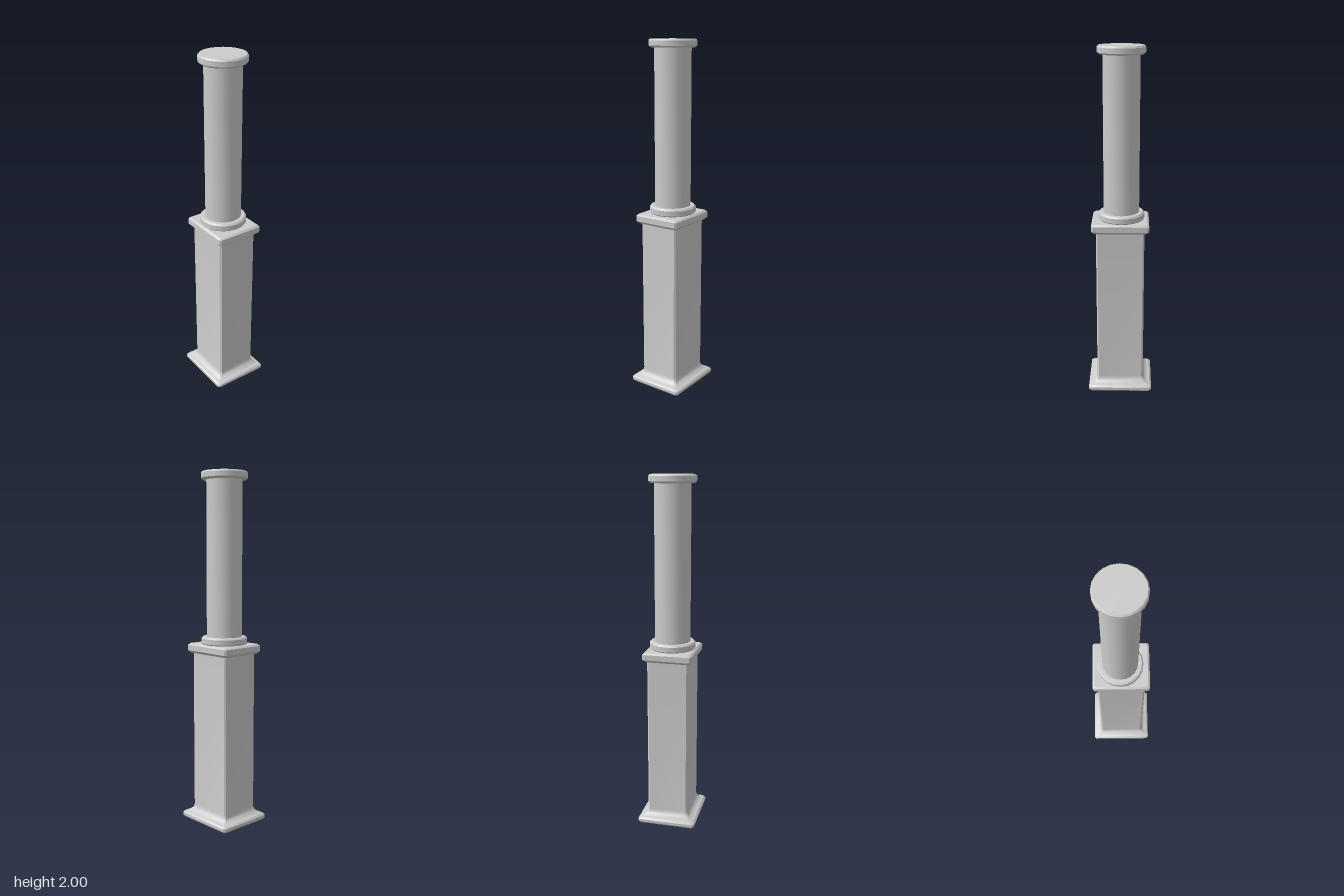
import * as THREE from 'three';
import { toCreasedNormals } from 'three/addons/utils/BufferGeometryUtils.js';

const CREASE = 0.6;

// Stacks chamfered rectangles: each section is [halfX, y, halfZ, chamfer], bottom to top.
function rectLoft(sections) {
  const pos = [], index = [], n = 8;
  for (const [x, y, z, c] of sections) {
    const ring = [[x, z - c], [x - c, z], [c - x, z], [-x, z - c],
      [-x, c - z], [c - x, -z], [x - c, -z], [x, c - z]];
    for (const [px, pz] of ring) pos.push(px, y, pz);
  }
  for (let s = 0; s < sections.length - 1; s++) {
    for (let i = 0; i < n; i++) {
      const a = s * n + i, b = s * n + (i + 1) % n;
      index.push(a, a + n, b, b, a + n, b + n);
    }
  }
  // Flat ends
  const top = (sections.length - 1) * n;
  for (let i = 1; i < n - 1; i++) {
    index.push(0, i, i + 1, top, top + i + 1, top + i);
  }
  const geo = new THREE.BufferGeometry();
  geo.setAttribute('position', new THREE.Float32BufferAttribute(pos, 3));
  geo.setIndex(index);
  return toCreasedNormals(geo, CREASE);
}

function turned(profile) {
  const pts = profile.map(([r, y]) => new THREE.Vector2(r, y));
  return toCreasedNormals(new THREE.LatheGeometry(pts, 20), CREASE);
}

export function createModel() {
  const group = new THREE.Group();
  const material = new THREE.MeshStandardMaterial({ color: 0xcccccc });
  const add = (name, geometry, z = 0) => {
    const mesh = new THREE.Mesh(geometry, material);
    mesh.name = name;
    mesh.position.z = z;
    group.add(mesh);
  };
  // Section from the pedestal's half width; the depth is always a little larger
  const section = (x, y, c, extra = 0.018) => [x, y, x + extra, c];

  // Square pedestal with a flared foot
  add('pedestal', rectLoft([
    section(0.158, 0, 0.008),
    section(0.168, 0.011, 0.012),
    section(0.168, 0.026, 0.012),
    section(0.158, 0.036, 0.01),
    section(0.147, 0.038, 0.01),
    section(0.136, 0.045, 0.01),
    section(0.126, 0.056, 0.009),
    section(0.12, 0.067, 0.009),
    section(0.118, 0.08, 0.009),
    section(0.118, 0.995, 0.009),
  ]));

  // Slab on top of the pedestal
  add('pedestalCap', rectLoft([
    section(0.126, 0.988, 0.009, 0.021),
    section(0.14, 1.002, 0.01, 0.022),
    section(0.14, 1.033, 0.01, 0.022),
    section(0.13, 1.043, 0.009, 0.021),
  ]));

  // Round column, set slightly back
  const columnZ = -0.005;
  add('columnShaft', turned([[0.101, 1.04], [0.101, 1.97]]), columnZ);
  add('columnBaseRing', turned([
    [0, 1.04], [0.122, 1.04], [0.131, 1.049], [0.131, 1.077], [0.122, 1.086], [0, 1.086],
  ]), columnZ);
  add('columnTopRing', turned([
    [0, 1.955], [0.122, 1.955], [0.131, 1.964], [0.131, 1.991], [0.124, 2], [0, 2],
  ]), columnZ);

  return group;
}
